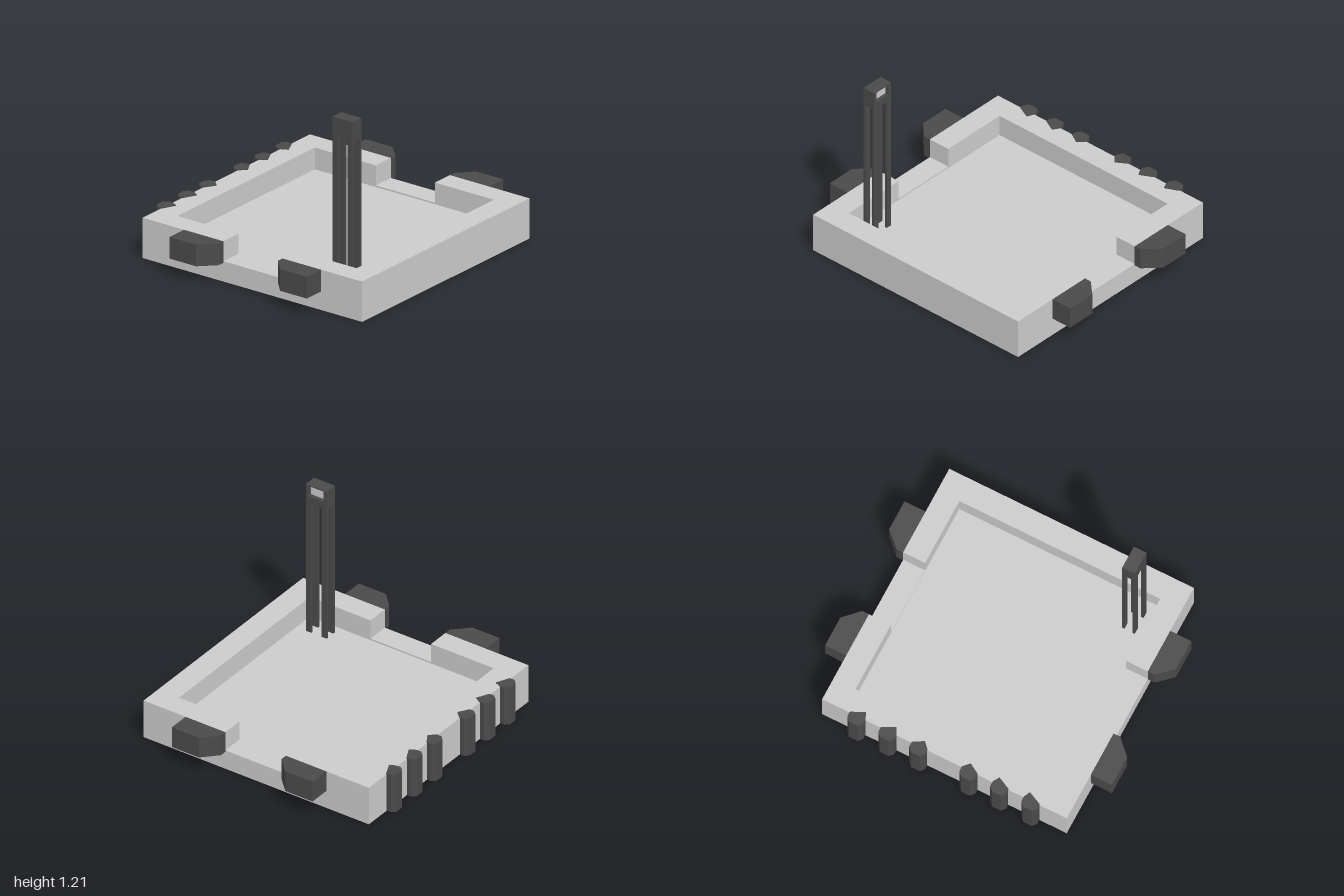
import * as THREE from 'three';

const grey = new THREE.MeshStandardMaterial({ color: 0xcccccc, flatShading: true });
const dark = new THREE.MeshStandardMaterial({ color: 0x4a4a4a, flatShading: true });

function add(group, name, geometry, material) {
  const mesh = new THREE.Mesh(geometry, material);
  mesh.name = name;
  group.add(mesh);
  return mesh;
}

// Box given by its lower and upper corners
function box(x0, y0, z0, x1, y1, z1) {
  return new THREE.BoxGeometry(x1 - x0, y1 - y0, z1 - z0)
    .translate((x0 + x1) / 2, (y0 + y1) / 2, (z0 + z1) / 2);
}

// Upright prism over an [x, z] outline
function prism(points, y0, y1) {
  const shape = new THREE.Shape(points.map(([x, z]) => new THREE.Vector2(x, -z)));
  return new THREE.ExtrudeGeometry(shape, { depth: y1 - y0, bevelEnabled: false })
    .rotateX(-Math.PI / 2).translate(0, y0, 0);
}

export function createModel() {
  const model = new THREE.Group();
  model.name = 'walledTray';
  const W = 0.853, IN = 0.7, TOP = 0.27, FLOOR = 0.125;

  // Base slab, whose top is the sunken floor
  add(model, 'base', box(-W, 0, -0.83, W, FLOOR, 0.88), grey);

  // U-shaped walls at front and back: outer z, inner z, end z at the side openings
  for (const [name, outer, inner, end] of [
    ['frontWall', 0.88, 0.72, 0.26], ['backWall', -0.83, -0.675, -0.2]]) {
    add(model, name, prism([[-W, end], [-W, outer], [W, outer], [W, end],
      [IN, end], [IN, inner], [-IN, inner], [-IN, end]], FLOOR, TOP), grey);
  }

  for (const s of [-1, 1]) {
    const side = s > 0 ? 'left' : 'right';
    // Low sill across each side opening
    add(model, side + 'Sill',
      box(s > 0 ? IN : -W, FLOOR, -0.2, s > 0 ? W : -IN, 0.136, 0.26), grey);
    // Chamfered blocks flanking the opening
    for (const [name, near, bend, far] of [
      ['FrontBlock', 0.26, 0.355, 0.562], ['BackBlock', -0.2, -0.3, -0.507]]) {
      add(model, side + name, prism([[s * W, near], [s * 0.9, near], [s, bend],
        [s, far], [s * W, far]], FLOOR, TOP), dark);
    }
    // Faceted posts along the back, with tips leaning towards the middle
    [[0.175, 0.015], [0.39, 0.03], [0.607, 0.035]].forEach(([x, lean], i) => {
      const outline = [[0.055, -0.86], [0.03, -0.887], [-0.03, -0.887], [-0.055, -0.86],
        [-0.055, -0.825], [-lean, -0.783], [0.055, -0.825]];
      add(model, side + 'Post' + (i + 1),
        prism(outline.map(([px, z]) => [s * (x + px), z]), 0, TOP + 0.004), dark);
    });
  }

  // Four-legged tower on the floor
  const tower = new THREE.Group();
  tower.name = 'tower';
  model.add(tower);
  const X0 = -0.643, X1 = -0.555, Z0 = 0.49, Z1 = 0.647;
  for (const x of [X0, X1 - 0.016])
    for (const z of [Z0, Z1 - 0.04])
      add(tower, 'leg', box(x, FLOOR, z, x + 0.016, 1.08, z + 0.04), dark);

  // Head with a window recessed into one side
  const back = X1 - 0.03;
  add(tower, 'head', box(X0, 1.08, Z0, back, 1.21, Z1), dark);
  const frame = new THREE.Shape([[-Z1, 1.08], [-Z0, 1.08], [-Z0, 1.21], [-Z1, 1.21]]
    .map(p => new THREE.Vector2(...p)));
  frame.holes.push(new THREE.Path([[-0.627, 1.128], [-0.627, 1.203], [-0.513, 1.203], [-0.513, 1.128]]
    .map(p => new THREE.Vector2(...p))));
  add(tower, 'windowFrame', new THREE.ExtrudeGeometry(frame, { depth: X1 - back, bevelEnabled: false })
    .rotateY(Math.PI / 2).translate(back, 0, 0), dark);
  add(tower, 'windowPanel', box(back - 0.005, 1.128, 0.513, back + 0.003, 1.203, 0.627), grey);

  return model;
}
